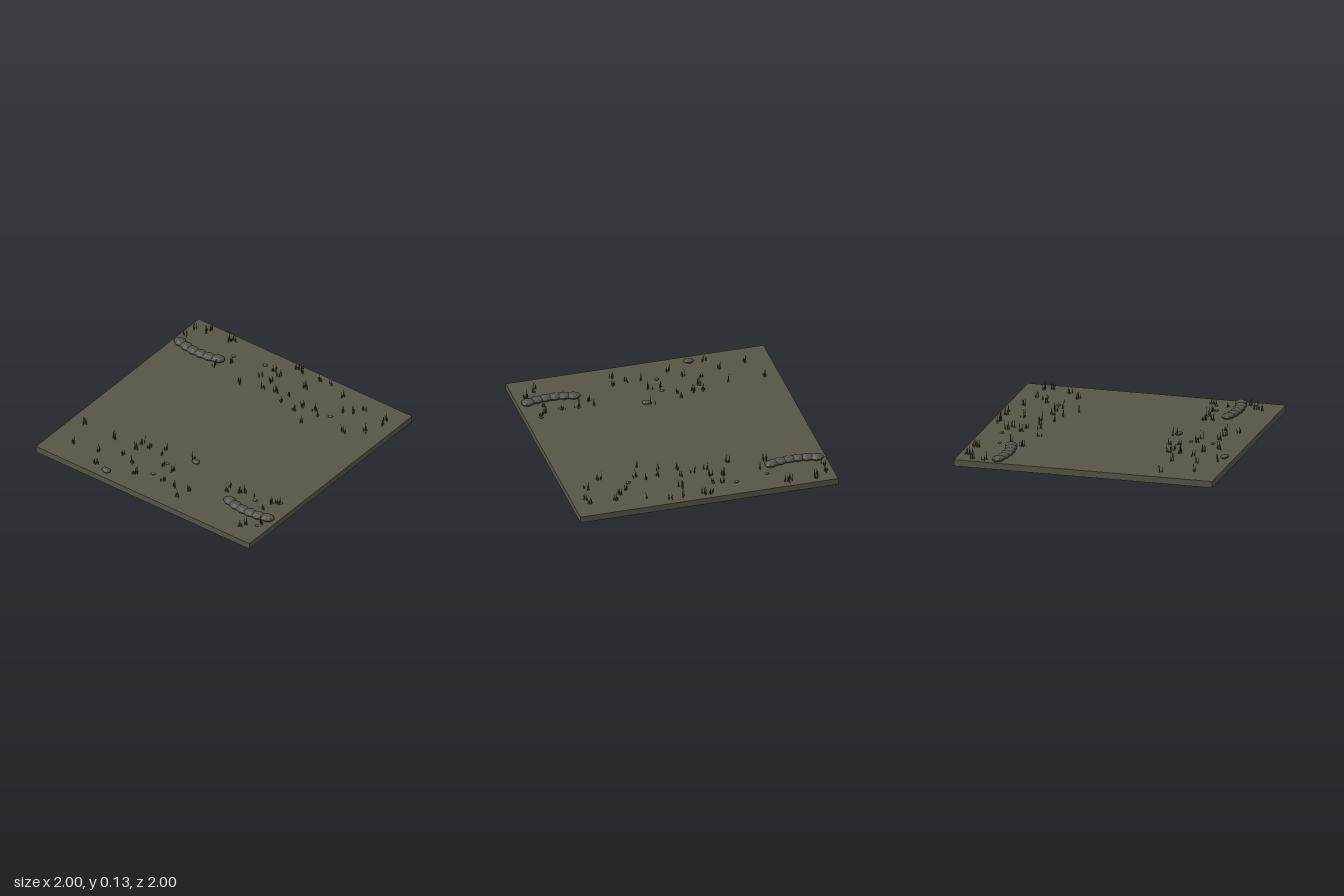
import * as THREE from 'three';

const GROUND = 0.05;

function mat(name, color, extra = {}) {
  const m = new THREE.MeshStandardMaterial({ color, ...extra });
  m.name = name;
  return m;
}

// Small repeatable number generator
function seeded(seed) {
  let s = seed;
  return () => {
    s = (s * 16807) % 2147483647;
    return s / 2147483647;
  };
}

// Tuft positions as x, z pairs
const FRONT_TUFTS = [
  -0.79, 0.81, -0.88, 0.57, -0.6, 0.76, -0.51, 0.91, -0.59, 0.58, -0.42, 0.68, -0.3, 0.73, -0.2, 0.83,
  -0.38, 0.57, -0.39, 0.49, -0.31, 0.5, -0.2, 0.52, -0.1, 0.63, 0.01, 0.77, -0.19, 0.44, -0.01, 0.63,
  0.13, 0.77, 0.22, 0.86, 0.25, 0.75, 0.03, 0.42, 0.46, 0.52, 0.56, 0.55, 0.59, 0.51, 0.69, 0.51,
  0.82, 0.59, 0.83, 0.5, 0.87, 0.47, 0.83, 0.82, 0.82, 0.87, 0.92, 0.75, 0.48, 0.59,
];
const BACK_TUFTS = [
  -0.95, -0.78, -0.94, -0.88, -0.86, -0.9, -0.85, -0.94, -0.65, -0.92, -0.62, -0.94, -0.55, -0.6, -0.47, -0.7,
  -0.27, -0.54, -0.19, -0.71, -0.09, -0.6, -0.1, -0.7, -0.16, -0.83, 0.02, -0.62, -0.09, -0.8, 0.12, -0.54,
  0.12, -0.64, -0.04, -0.94, 0.03, -0.94, 0.26, -0.51, 0.28, -0.6, 0.16, -0.8, 0.38, -0.61, 0.19, -0.94,
  0.45, -0.57, 0.28, -0.94, 0.44, -0.88, 0.57, -0.72, 0.72, -0.53, 0.84, -0.63, 0.68, -0.84, 0.89, -0.77,
  0.88, -0.84, 0.62, -0.77, 0.4, -0.44,
];

// Upright pointed blades fanned around each tuft centre
function grassGeometry(points, seed) {
  const rnd = seeded(seed);
  const pos = [];
  for (let i = 0; i < points.length; i += 2) {
    const blades = 4 + Math.floor(rnd() * 2);
    for (let b = 0; b < blades; b++) {
      const a = rnd() * Math.PI * 2;
      const c = Math.cos(a), s = Math.sin(a);
      const x = points[i] + (rnd() - 0.5) * 0.035;
      const z = points[i + 1] + (rnd() - 0.5) * 0.035;
      const h = 0.035 + rnd() * 0.045;
      const w = 0.006;
      const lean = (rnd() - 0.3) * 0.016;
      pos.push(
        x - c * w, GROUND, z - s * w,
        x + c * w, GROUND, z + s * w,
        x + c * lean, GROUND + h, z + s * lean,
      );
    }
  }
  const g = new THREE.BufferGeometry();
  g.setAttribute('position', new THREE.Float32BufferAttribute(pos, 3));
  g.computeVertexNormals();
  return g;
}

// Squat faceted lump: widest just above the ground, with a small flat top
function lumpGeometry(sides) {
  const profile = [[0.001, 0], [0.82, 0], [1, 0.42], [0.85, 0.72], [0.42, 1], [0.001, 1]];
  return new THREE.LatheGeometry(profile.map(([r, y]) => new THREE.Vector2(r, y)), sides);
}

export function createModel() {
  const model = new THREE.Group();
  model.name = 'groundTile';

  const soil = mat('soil', 0x565546);
  const stone = mat('stone', 0x53544a, { flatShading: true });
  const dryGrass = mat('dryGrass', 0x543f26, { side: THREE.DoubleSide });

  // Ground slab with very low banks at front and back
  const slabGeo = new THREE.BoxGeometry(2, GROUND, 2, 24, 1, 24);
  const p = slabGeo.attributes.position;
  for (let i = 0; i < p.count; i++) {
    const x = p.getX(i), z = p.getZ(i);
    if (p.getY(i) > 0) {
      const bank = Math.max(0, 1 - Math.abs(Math.abs(z) - 0.5) / 0.25);
      const edge = Math.min(1, (1 - Math.abs(x)) * 4);
      p.setY(i, GROUND / 2 + 0.003 * bank * edge * (0.6 + 0.4 * Math.sin(x * 5 + z)));
    }
  }
  slabGeo.computeVertexNormals();
  const slab = new THREE.Mesh(slabGeo, soil);
  slab.name = 'groundSlab';
  slab.position.y = GROUND / 2;
  model.add(slab);

  // Two curved rows of sandbags
  const bagGeo = lumpGeometry(8);
  function bagRow(name, cx, cz) {
    const row = new THREE.Group();
    row.name = name;
    for (let i = 0; i < 6; i++) {
      const t = (i - 2.5) / 2.5;
      const bag = new THREE.Mesh(bagGeo, stone);
      bag.name = 'sandbag';
      bag.position.set(cx + t * 0.175, GROUND, cz - 0.027 * t * t);
      bag.scale.set(0.058, 0.036, 0.046);
      bag.rotation.y = t * 0.3;
      row.add(bag);
    }
    model.add(row);
  }
  bagRow('backSandbagRow', -0.75, -0.65);
  bagRow('frontSandbagRow', 0.745, 0.702);

  // Scattered stones: x, z, radius
  const rockGeo = lumpGeometry(7);
  [
    [-0.51, -0.785, 0.018], [-0.255, -0.84, 0.021], [0.52, -0.625, 0.021],
    [0.07, 0.437, 0.036], [-0.09, 0.577, 0.02], [-0.097, 0.745, 0.02],
    [-0.397, 0.925, 0.041], [0.57, 0.52, 0.016], [0.708, 0.545, 0.02],
    [0.882, 0.455, 0.018], [0.91, 0.79, 0.016],
  ].forEach(([x, z, r], i) => {
    const rock = new THREE.Mesh(rockGeo, stone);
    rock.name = 'stone';
    rock.position.set(x, GROUND, z);
    rock.scale.set(r, r * 0.6, r * 0.75);
    rock.rotation.y = (i % 3 - 1) * 0.2;
    model.add(rock);
  });

  // Dry grass strips
  [['frontGrass', FRONT_TUFTS, 11], ['backGrass', BACK_TUFTS, 47]].forEach(([name, pts, seed]) => {
    const grass = new THREE.Mesh(grassGeometry(pts, seed), dryGrass);
    grass.name = name;
    model.add(grass);
  });

  return model;
}
